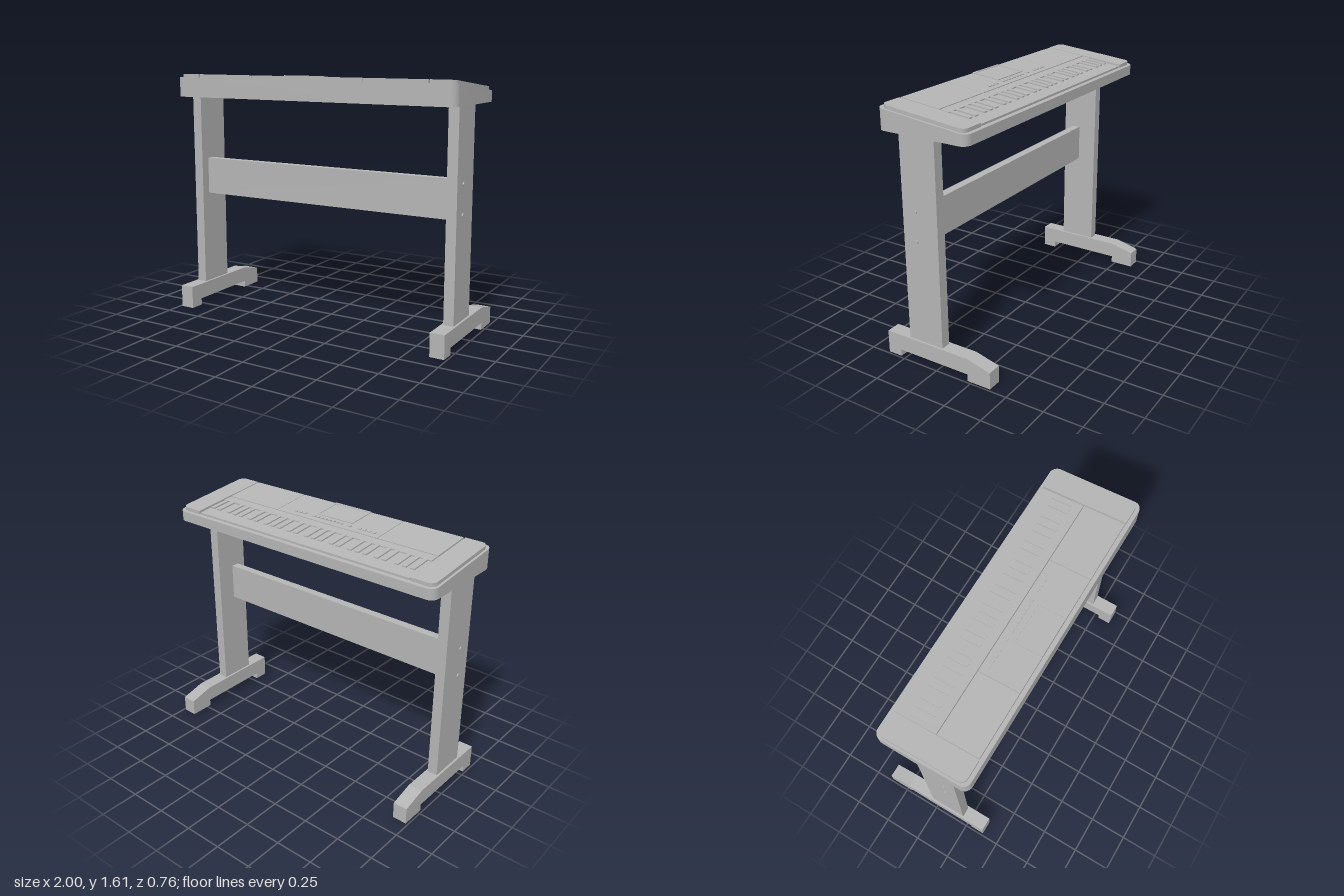
import * as THREE from 'three';
import { toCreasedNormals } from 'three/addons/utils/BufferGeometryUtils.js';

const grey = new THREE.MeshStandardMaterial({ color: 0xb4b4b4 });
grey.name = 'light grey';

// Height of the sloping deck of the keyboard at depth z
const deck = (z) => 1.549 + 0.107 * z;

// Rectangle in plan (x, z) with separate corner radii for the -x and +x ends
function plan(x0, x1, z0, z1, rL = 0, rR = 0) {
  const s = new THREE.Shape();
  const a = -z1, b = -z0;
  s.moveTo(x0 + rL, a);
  s.lineTo(x1 - rR, a);
  if (rR) s.absarc(x1 - rR, a + rR, rR, -Math.PI / 2, 0);
  s.lineTo(x1, b - rR);
  if (rR) s.absarc(x1 - rR, b - rR, rR, 0, Math.PI / 2);
  s.lineTo(x0 + rL, b);
  if (rL) s.absarc(x0 + rL, b - rL, rL, Math.PI / 2, Math.PI);
  s.lineTo(x0, a + rL);
  if (rL) s.absarc(x0 + rL, a + rL, rL, Math.PI, Math.PI * 1.5);
  return s;
}

// Upright slab over a plan shape; bottom and top heights are rules of z
function slab(parent, name, shape, bottom, top) {
  const g = new THREE.ExtrudeGeometry(shape, { depth: 1, bevelEnabled: false, curveSegments: 8 });
  g.rotateX(-Math.PI / 2);
  const p = g.attributes.position;
  for (let i = 0; i < p.count; i++) {
    const z = p.getZ(i);
    p.setY(i, p.getY(i) > 0.5 ? top(z) : bottom(z));
  }
  const mesh = new THREE.Mesh(toCreasedNormals(g, 0.5), grey);
  mesh.name = name;
  parent.add(mesh);
  return mesh;
}

// Slab lying on the deck between two heights above it
const onDeck = (parent, name, shape, h0, h1) =>
  slab(parent, name, shape, (z) => deck(z) + h0, (z) => deck(z) + h1);

function box(parent, name, x0, x1, y0, y1, z0, z1) {
  const mesh = new THREE.Mesh(new THREE.BoxGeometry(x1 - x0, y1 - y0, z1 - z0), grey);
  mesh.position.set((x0 + x1) / 2, (y0 + y1) / 2, (z0 + z1) / 2);
  mesh.name = name;
  parent.add(mesh);
}

function createKeyboard() {
  const k = new THREE.Group();
  k.name = 'keyboard';
  const top = 0.0225;

  slab(k, 'case', plan(-1, 1, -0.267, 0.343, 0.05, 0.05), () => 1.455, deck);

  // End blocks with rounded outer corners
  onDeck(k, 'rightEndBlock', plan(-0.985, -0.834, -0.245, 0.318, 0.04, 0), 0, top);
  onDeck(k, 'leftEndBlock', plan(0.83, 0.985, -0.245, 0.318, 0, 0.04), 0, top);

  // Control panels and the strip behind the keys
  for (const [name, x0, x1] of [['rightPanel', -0.824, -0.402], ['middlePanel', -0.398, 0.398], ['leftPanel', 0.402, 0.82]])
    onDeck(k, name, plan(x0, x1, 0.043, 0.315), 0, top);
  onDeck(k, 'keyStrip', plan(-0.824, 0.82, -0.022, 0.038), 0, top - 0.002);

  // White key bed, with black keys in groups of three and two
  onDeck(k, 'whiteKeys', plan(-0.824, 0.82, -0.241, -0.022), 0, 0.013);
  for (let octave = 0; octave < 5; octave++) {
    for (const dx of [0, 0.055, 0.11, 0.195, 0.25]) {
      const x = -0.784 + octave * 0.3325 + dx;
      onDeck(k, 'blackKey', plan(x - 0.014, x + 0.014, -0.155, -0.022), 0.012, 0.0215);
    }
  }

  // Display: raised frame around a slightly sunken pane
  const frame = plan(-0.155, 0.13, 0.12, 0.314);
  frame.holes.push(plan(-0.14, 0.115, 0.134, 0.3));
  onDeck(k, 'displayFrame', frame, top - 0.002, top + 0.005);
  onDeck(k, 'displayPane', plan(-0.141, 0.116, 0.133, 0.301), top - 0.002, top + 0.002);

  // Rows of push buttons: first x, count, spacing
  for (const [x0, n, step] of [[-0.345, 4, 0.036], [-0.16, 1, 0], [-0.095, 8, 0.031], [0.2, 3, 0.036]])
    for (let i = 0; i < n; i++) {
      const x = x0 + i * step;
      onDeck(k, 'button', plan(x - 0.01, x + 0.01, 0.077, 0.095), top - 0.002, top + 0.006);
    }
  return k;
}

function createStand() {
  const stand = new THREE.Group();
  stand.name = 'stand';

  // Foot side profile as (z, y)
  const profile = new THREE.Shape([
    [-0.38, 0], [-0.22, 0], [-0.22, 0.045], [0.285, 0.045], [0.285, 0],
    [0.38, 0], [0.38, 0.15], [-0.22, 0.15], [-0.38, 0.11],
  ].map(([z, y]) => new THREE.Vector2(-z, y)));
  const footGeometry = new THREE.ExtrudeGeometry(profile, { depth: 0.094, bevelEnabled: false });
  footGeometry.translate(0, 0, -0.047).rotateY(Math.PI / 2);
  const boltGeometry = new THREE.CylinderGeometry(0.013, 0.013, 0.012, 12).rotateZ(Math.PI / 2);

  for (const [side, s] of [['left', 1], ['right', -1]]) {
    const foot = new THREE.Mesh(footGeometry, grey);
    foot.name = side + 'Foot';
    foot.position.x = s * 0.938;
    stand.add(foot);
    box(stand, side + 'Leg', s * 0.938 - 0.033, s * 0.938 + 0.033, 0.15, 1.455, -0.03, 0.216);
    for (const y of [0.81, 0.995]) {
      const bolt = new THREE.Mesh(boltGeometry, grey);
      bolt.name = side + 'Bolt';
      bolt.position.set(s * 0.972, y, 0.125);
      stand.add(bolt);
    }
  }
  box(stand, 'crossBoard', -0.905, 0.905, 0.778, 1.024, 0.097, 0.153);
  return stand;
}

export function createModel() {
  const model = new THREE.Group();
  model.name = 'keyboardOnStand';
  model.add(createStand(), createKeyboard());
  return model;
}
